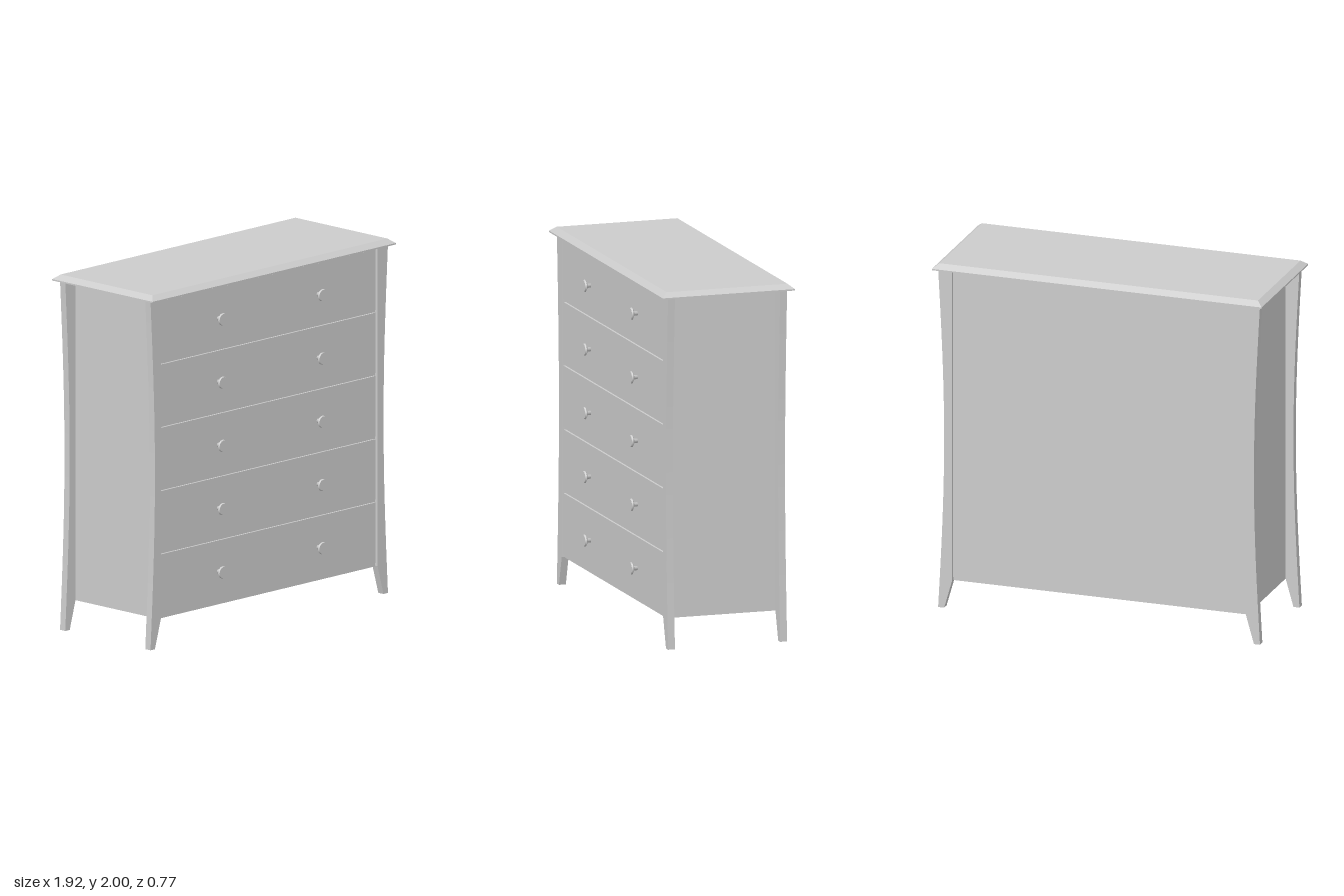
import * as THREE from 'three';

const material = new THREE.MeshStandardMaterial({ color: 0xcccccc, flatShading: true });
const smooth = new THREE.MeshStandardMaterial({ color: 0xcccccc });

function add(parent, name, geometry, x = 0, y = 0, z = 0, mat = material) {
  const mesh = new THREE.Mesh(geometry, mat);
  mesh.name = name;
  mesh.position.set(x, y, z);
  parent.add(mesh);
  return mesh;
}

const box = (w, h, d) => new THREE.BoxGeometry(w, h, d);

// Table top: a slab whose upper edge is chamfered inward
function topGeometry(w, d, h, lip, inset) {
  const g = box(w, h, d, 1, 2, 1);
  const slab = new THREE.BoxGeometry(w, h, d, 1, 2, 1);
  const p = slab.attributes.position;
  for (let i = 0; i < p.count; i++) {
    const y = p.getY(i);
    if (Math.abs(y) < 1e-6) p.setY(i, -h / 2 + lip);
    if (y > 1e-6) {
      p.setX(i, p.getX(i) - Math.sign(p.getX(i)) * inset);
      p.setZ(i, p.getZ(i) - Math.sign(p.getZ(i)) * inset);
    }
  }
  g.dispose();
  slab.computeVertexNormals();
  return slab;
}

// Leg outline: bowed outer edge, straight inner edge, tapered foot
function legGeometry(sign) {
  const s = new THREE.Shape();
  const outer = [];
  for (let i = 0; i <= 16; i++) {
    const y = 1.966 * i / 16;
    const bow = Math.cos((y / 1.966 - 0.5) * Math.PI);
    outer.push(new THREE.Vector2(sign * (0.935 - 0.035 * bow), y));
  }
  s.moveTo(sign * 0.9, 0);
  outer.forEach(v => s.lineTo(v.x, v.y));
  s.lineTo(sign * 0.853, 1.966);
  s.lineTo(sign * 0.853, 0.165);
  s.closePath();
  return new THREE.ExtrudeGeometry(s, { depth: 0.04, bevelEnabled: false });
}

// Turned knob profile, from the stem out to the face
function knobGeometry() {
  const pts = [[0, 0], [0.012, 0], [0.012, 0.022], [0.022, 0.026], [0.034, 0.034],
    [0.034, 0.034], [0.031, 0.043], [0.031, 0.043], [0, 0.043]];
  const g = new THREE.LatheGeometry(pts.map(([r, y]) => new THREE.Vector2(r, y)), 24);
  g.rotateX(Math.PI / 2);
  return g;
}

export function createModel() {
  const group = new THREE.Group();

  add(group, 'top', topGeometry(1.916, 0.766, 0.034, 0.008, 0.033), 0, 1.983, 0);

  // Carcass
  add(group, 'carcass', box(1.71, 1.806, 0.65), 0, 1.063, 0);
  add(group, 'backPanel', box(1.706, 1.785, 0.01), 0, 1.0735, -0.33);

  // Four legs
  for (const side of [1, -1]) {
    const geometry = legGeometry(side);
    const sideName = side > 0 ? 'left' : 'right';
    add(group, sideName + 'FrontLeg', geometry, 0, 0, 0.305);
    add(group, sideName + 'BackLeg', geometry, 0, 0, -0.345);
  }

  // Five drawers, each with two knobs
  const knob = knobGeometry();
  for (let i = 0; i < 5; i++) {
    const drawer = new THREE.Group();
    drawer.name = 'drawer' + (i + 1);
    drawer.position.y = 0.35 + i * 0.3565;
    add(drawer, 'drawerFront', box(1.69, 0.34, 0.02), 0, 0.004, 0.327);
    for (const x of [-0.393, 0.393]) add(drawer, 'knob', knob, x, 0, 0.335, smooth);
    group.add(drawer);
  }
  return group;
}
